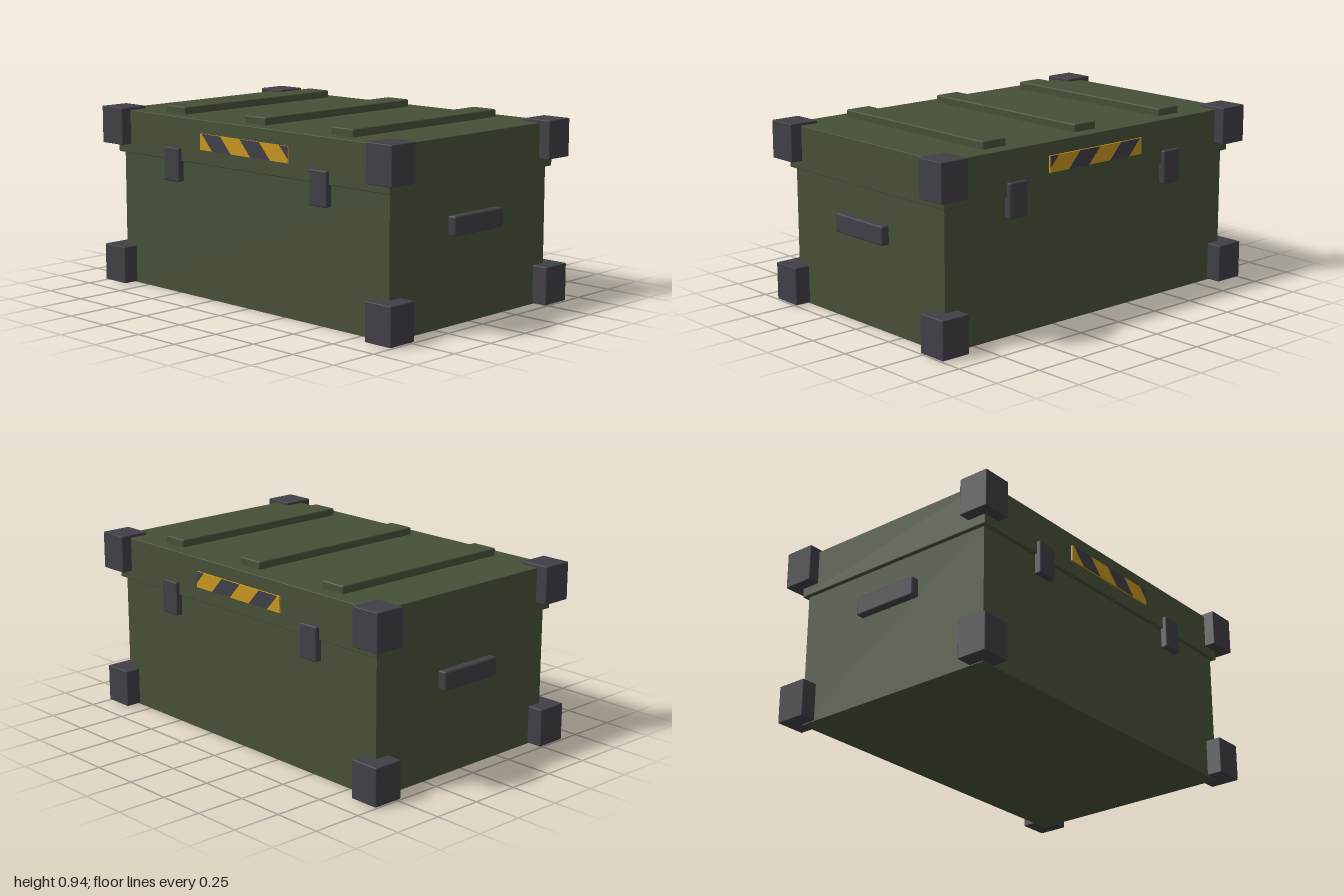
import * as THREE from 'three';
import { RoundedBoxGeometry } from 'three/addons/geometries/RoundedBoxGeometry.js';

function material(name, color) {
  const m = new THREE.MeshStandardMaterial({ color });
  m.name = name;
  return m;
}

export function createModel() {
  const green = material('olive green', 0x465038);
  const grey = material('dark grey', 0x403f46);
  const yellow = material('warning yellow', 0xc8961f);
  const model = new THREE.Group();
  model.name = 'crate';

  // Box given by its limits on each axis, with an optional small edge radius
  function block(name, mat, [x0, x1], [y0, y1], [z0, z1], radius = 0, parent = model) {
    const size = [x1 - x0, y1 - y0, z1 - z0];
    const geometry = radius
      ? new RoundedBoxGeometry(...size, 1, radius)
      : new THREE.BoxGeometry(...size);
    const mesh = new THREE.Mesh(geometry, mat);
    mesh.name = name;
    mesh.position.set((x0 + x1) / 2, (y0 + y1) / 2, (z0 + z1) / 2);
    parent.add(mesh);
    return mesh;
  }
  const span = (a, b, side) => (side > 0 ? [a, b] : [-b, -a]);

  // Body and overhanging lid
  block('body', green, [-0.918, 0.918], [0, 0.69], [-0.56, 0.56]);
  block('lid', green, [-0.94, 0.94], [0.677, 0.897], [-0.583, 0.583], 0.004);

  // Raised ribs across the lid
  for (const x of [-0.577, 0, 0.577]) {
    block('lidRib', green, [x - 0.07, x + 0.07], [0.885, 0.935], [-0.511, 0.511], 0.007);
  }

  // Corner guards on body and lid
  for (const sx of [-1, 1]) {
    for (const sz of [-1, 1]) {
      const x = span(0.844, 1, sx);
      const z = span(0.482, 0.64, sz);
      block('lowerCornerGuard', grey, x, [0.004, 0.193], z, 0.004);
      block('upperCornerGuard', grey, x, [0.723, 0.911], z, 0.004);
    }
  }

  // Side handles
  for (const sx of [-1, 1]) {
    block('handle', grey, span(0.927, 0.974, sx), [0.435, 0.53], [-0.176, 0.176], 0.009);
  }

  // Latches, front and back
  for (const sx of [-1, 1]) {
    for (const sz of [-1, 1]) {
      block('latch', grey, span(0.455, 0.565, sx), [0.573, 0.743], span(0.566, 0.604, sz), 0.007);
    }
  }

  // Warning plates: slanted dark bands on yellow, mirrored to the back
  const bottom = 0.75, top = 0.83, half = 0.304, lean = 0.075;
  const bands = [
    [[-0.29, top], [-0.29 + lean, bottom], [-0.085, bottom], [-0.16, top]],
    [[-0.02, top], [-0.02 + lean, bottom], [0.187, bottom], [0.112, top]],
    [[0.25, top], [half, 0.772], [half, top]],
  ];
  for (const sz of [-1, 1]) {
    const plate = new THREE.Group();
    plate.name = sz > 0 ? 'frontWarningPlate' : 'backWarningPlate';
    block('plateBase', yellow, [-half, half], [bottom, top], span(0.583, 0.592, sz), 0, plate);
    for (const points of bands) {
      const shape = new THREE.Shape(points.map(([x, y]) => new THREE.Vector2(x, y)));
      const band = new THREE.Mesh(
        new THREE.ExtrudeGeometry(shape, { depth: 0.003, bevelEnabled: false }), grey);
      band.name = 'darkBand';
      band.position.z = sz > 0 ? 0.591 : -0.594;
      plate.add(band);
    }
    model.add(plate);
  }

  return model;
}
